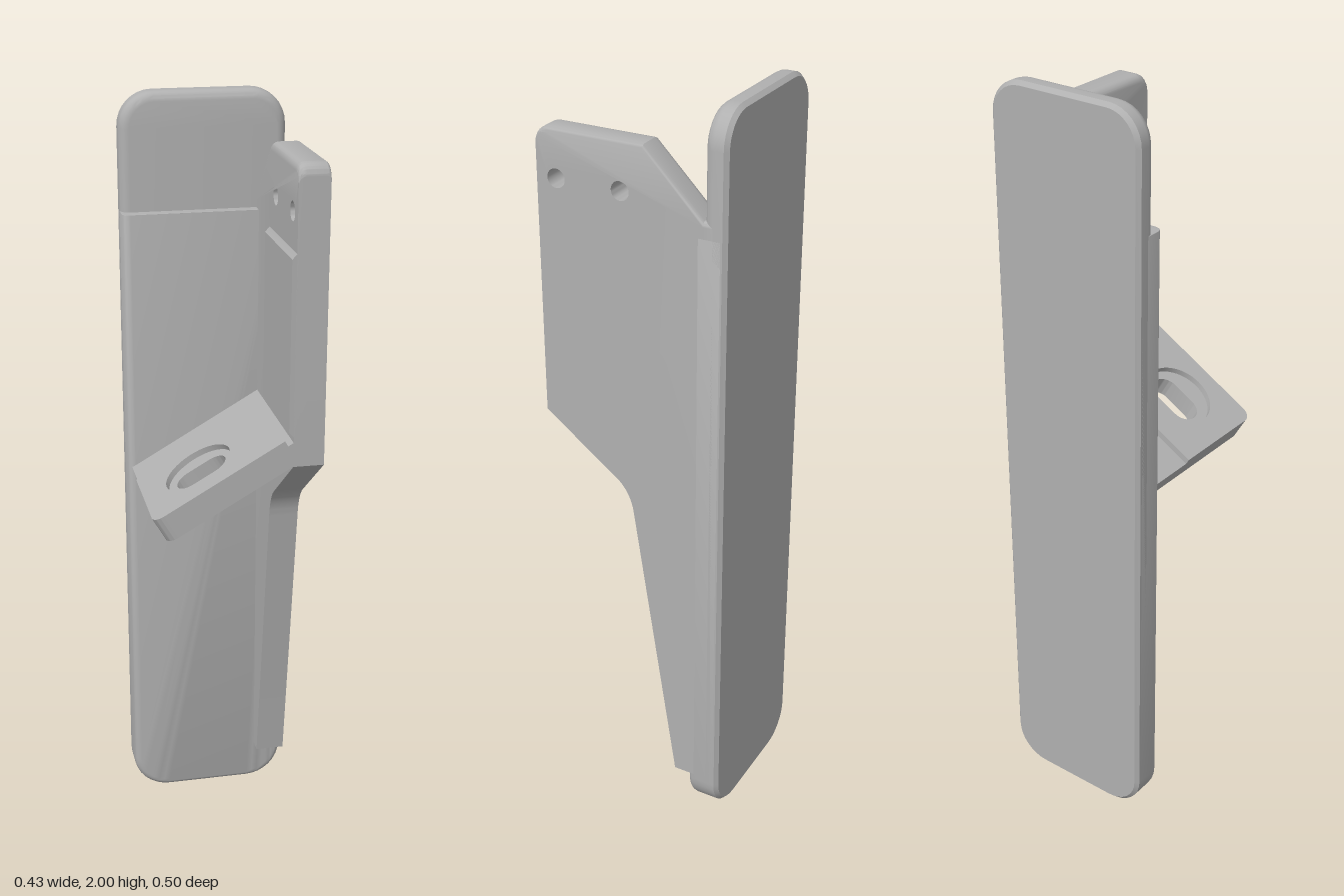
import * as THREE from 'three';
import { toCreasedNormals } from 'three/addons/utils/BufferGeometryUtils.js';

const grey = new THREE.MeshStandardMaterial({ color: 0xb0b0b0 });
grey.name = 'plainGrey';

function part(name, geometry, parent) {
  const mesh = new THREE.Mesh(toCreasedNormals(geometry, 0.6), grey);
  mesh.name = name;
  parent.add(mesh);
  return mesh;
}

// Rounded slab outline, CCW seen from +z; the top edge may stay square
function slabOutline(inset, top, topRadius) {
  const w = 0.215 - inset, bottom = inset, rb = 0.1 - inset, pts = [];
  const corners = [[w, top, topRadius, 1, 1], [-w, top, topRadius, -1, 1], [-w, bottom, rb, -1, -1], [w, bottom, rb, 1, -1]];
  corners.forEach(([x, y, r, sx, sy], q) => {
    for (let i = 0; i <= 8; i++) {
      const a = (q + i / 8) * Math.PI / 2;
      pts.push([x - sx * r + r * Math.cos(a), y - sy * r + r * Math.sin(a)]);
    }
  });
  return pts;
}

// Joins outlines at successive z, closing both ends
function loft(rings) {
  const n = rings[0].pts.length, pos = [], idx = [];
  rings.forEach(({ pts, z }) => pts.forEach(([x, y]) => pos.push(x, y, z)));
  for (let k = 0; k < rings.length - 1; k++) {
    for (let i = 0; i < n; i++) {
      const a = k * n + i, b = k * n + (i + 1) % n;
      idx.push(a, b, b + n, a, b + n, a + n);
    }
  }
  const last = (rings.length - 1) * n;
  for (let i = 1; i < n - 1; i++) idx.push(0, i + 1, i, last, last + i, last + i + 1);
  const g = new THREE.BufferGeometry();
  g.setAttribute('position', new THREE.Float32BufferAttribute(pos, 3));
  g.setIndex(idx);
  g.computeVertexNormals();
  return g;
}

// Slab with a small back chamfer and a rounded front edge
function slab(zBack, zFront, chamfer, fillet, top, roundTop) {
  const ring = (inset, z) => ({
    z, pts: slabOutline(inset, roundTop ? top - inset : top, roundTop ? 0.09 - inset : 0.001)
  });
  const rings = [ring(chamfer, zBack), ring(0, zBack + chamfer)];
  for (let i = 0; i <= 5; i++) {
    const a = i / 5 * Math.PI / 2;
    rings.push(ring(fillet * (1 - Math.cos(a)), zFront - fillet * (1 - Math.sin(a))));
  }
  return loft(rings);
}

// Side fin: profile in (-z, y), extruded across x, with rounded top edges
function finGeometry() {
  const s = new THREE.Shape();
  s.moveTo(-0.25, 1.15);
  s.lineTo(-0.05, 1.003);
  s.quadraticCurveTo(-0.008, 0.972, 0, 0.91);
  s.lineTo(0.12, 0.115);
  s.lineTo(0.235, 0.115);
  s.lineTo(0.235, 1.74);
  s.lineTo(0.19, 1.74);
  s.lineTo(0.035, 1.895);
  s.lineTo(-0.22, 1.895);
  s.absarc(-0.22, 1.865, 0.03, Math.PI / 2, Math.PI, false);
  s.closePath();
  for (const z of [0.197, 0.025]) {
    const hole = new THREE.Path();
    hole.absarc(-z, 1.775, 0.024, 0, Math.PI * 2, true);
    s.holes.push(hole);
  }
  const g = new THREE.ExtrudeGeometry(s, { depth: 1, steps: 9, bevelEnabled: false, curveSegments: 12 });
  g.rotateY(Math.PI / 2);
  const xs = [], drops = [];
  for (let i = 0; i < 10; i++) {
    const inner = i < 5, r = inner ? 0.02 : 0.012;
    const a = (inner ? i : 9 - i) / 4 * Math.PI / 2;
    const d = r * (1 - Math.cos(a));
    xs.push(inner ? 0.137 + d : 0.215 - d);
    drops.push(r * (1 - Math.sin(a)));
  }
  const p = g.attributes.position;
  for (let i = 0; i < p.count; i++) {
    const k = Math.round(p.getX(i) * 9), y = p.getY(i);
    p.setX(i, xs[k]);
    if (y > 1.82 || (p.getZ(i) < -0.1 && y > 1.6)) p.setY(i, y - drops[k]);
  }
  return g;
}

// Tray layer outline in (slope length, -z), with one rounded free corner
function trayLayer(length, zBack, thickness, hole) {
  const s = new THREE.Shape();
  s.moveTo(0.03, -0.25);
  s.lineTo(length, -0.25);
  s.lineTo(length, -zBack);
  s.lineTo(0, -zBack);
  s.lineTo(0, -0.22);
  s.absarc(0.03, -0.22, 0.03, Math.PI, Math.PI * 1.5, false);
  s.holes.push(hole);
  const g = new THREE.ExtrudeGeometry(s, { depth: thickness, bevelEnabled: false, curveSegments: 24 });
  return g.rotateX(-Math.PI / 2);
}

export function createModel() {
  const model = new THREE.Group();
  model.name = 'wallBracket';

  // Back plate and its thicker lower face
  part('backPlate', slab(-0.25, -0.19, 0.01, 0.025, 2, true), model);
  part('lowerPlateFace', slab(-0.235, -0.158, 0, 0.02, 1.7, false), model);

  // Fin and the raised pad on its inner side
  part('sideFin', finGeometry(), model);
  const pad = new THREE.Shape();
  pad.moveTo(0.125, 1.24);
  pad.lineTo(0.14, 1.225);
  pad.lineTo(0.14, 1.69);
  pad.lineTo(0.137, 1.685);
  pad.lineTo(0.125, 1.672);
  pad.closePath();
  const padGeometry = new THREE.ExtrudeGeometry(pad, { depth: 0.285, bevelEnabled: false });
  part('finPad', padGeometry.translate(0, 0, -0.035), model);

  // Sloping tray: slotted base below, pad with round recess above
  const tray = new THREE.Group();
  tray.name = 'slopingTray';
  tray.position.set(-0.178, 0.969, 0);
  tray.rotation.z = Math.PI / 6;
  model.add(tray);

  const slot = new THREE.Path();
  slot.absarc(0.128, -0.106, 0.039, Math.PI * 1.5, Math.PI / 2, true);
  slot.absarc(0.192, -0.106, 0.039, Math.PI / 2, -Math.PI / 2, true);
  slot.closePath();
  part('trayBase', trayLayer(0.42, -0.18, 0.054, slot), tray);

  const recess = new THREE.Path();
  recess.absarc(0.159, -0.107, 0.093, 0, Math.PI * 2, true);
  part('trayPad', trayLayer(0.379, -0.035, 0.016, recess), tray).position.y = 0.054;

  return model;
}
